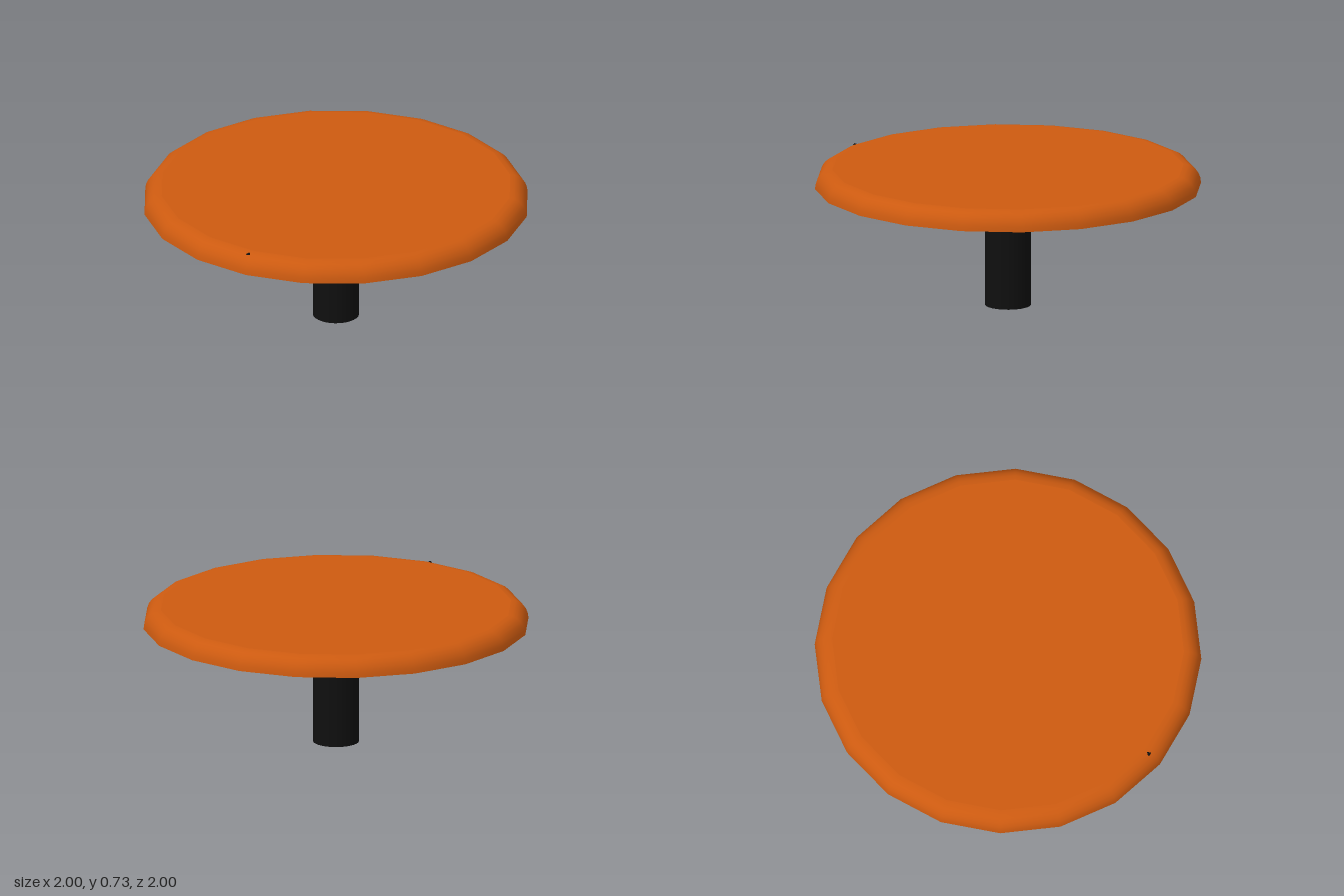
import * as THREE from 'three';

export function createModel() {
  const group = new THREE.Group();
  const orange = new THREE.MeshStandardMaterial({ name: 'orange', color: 0xcc5a10 });
  const black = new THREE.MeshStandardMaterial({ name: 'black', color: 0x0f0f0f });

  const add = (name, geometry, material) => {
    const mesh = new THREE.Mesh(geometry, material);
    mesh.name = name;
    group.add(mesh);
    return mesh;
  };

  const SIDES = 20, BASE = 0.63, TOP = 0.73, INNER = 0.91;

  // Rounded rim: a quarter ellipse from the lower edge up to the flat top
  const profile = [];
  for (let i = 0; i <= 6; i++) {
    const a = (i / 6) * Math.PI / 2;
    profile.push(new THREE.Vector2(
      INNER + (1 - INNER) * Math.cos(a),
      BASE + (TOP - BASE) * Math.sin(a)));
  }
  add('tableRim', new THREE.LatheGeometry(profile, SIDES), orange);

  // Flat faces of the disc
  const top = add('tableTop', new THREE.CircleGeometry(INNER, SIDES), orange);
  top.rotation.x = -Math.PI / 2;
  top.position.y = TOP;
  const underside = add('tableUnderside', new THREE.CircleGeometry(1, SIDES), orange);
  underside.rotation.x = Math.PI / 2;
  underside.position.y = BASE;

  // Central post
  const post = add('post', new THREE.CylinderGeometry(0.12, 0.12, BASE, 32), black);
  post.position.y = BASE / 2;

  // Thin slanted pin through the disc, its tip just showing at the front rim
  const start = new THREE.Vector3(-0.045, 0.651, 0.51);
  const end = new THREE.Vector3(-0.015, 0.708, 0.949);
  const pinGeometry = new THREE.CylinderGeometry(1, 1, start.distanceTo(end), 8);
  pinGeometry.rotateX(Math.PI / 2);
  pinGeometry.scale(0.013, 0.022, 1);
  const pin = add('pin', pinGeometry, black);
  pin.position.copy(start).lerp(end, 0.5);
  pin.lookAt(end);

  return group;
}
